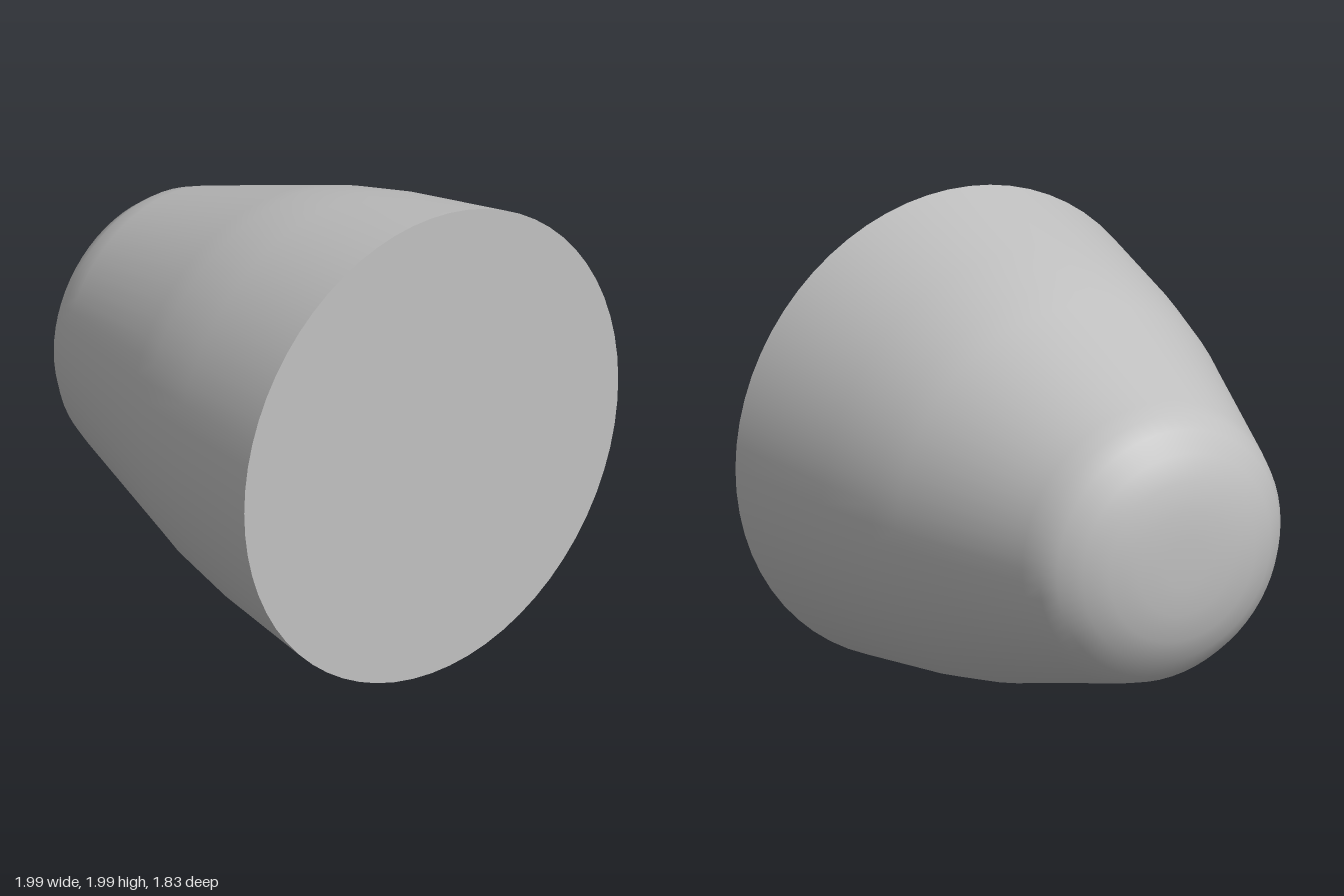
import * as THREE from 'three';

export function createModel() {
  const model = new THREE.Group();
  const grey = new THREE.MeshStandardMaterial({ color: 0xc0c0c0 });
  grey.name = 'plain grey';

  // Profile as [radius, z], from the blunt back to the wide front rim
  const profile = [
    [0, -0.917], [0.1, -0.917], [0.22, -0.91], [0.34, -0.885], [0.44, -0.84],
    [0.52, -0.775], [0.565, -0.71], [0.595, -0.63], [0.8, 0], [0.84, 0.12],
    [0.907, 0.4], [0.997, 0.917],
  ].map(([r, z]) => new THREE.Vector2(r, z));

  // Smooth tapered shell, turned so that its axis runs along z
  const shell = new THREE.Mesh(new THREE.LatheGeometry(profile, 64), grey);
  shell.name = 'taperedShell';
  shell.rotation.x = Math.PI / 2;
  shell.position.y = 1;
  model.add(shell);

  // Flat disc closing the front
  const face = new THREE.Mesh(new THREE.CircleGeometry(0.997, 64), grey);
  face.name = 'frontFace';
  face.position.set(0, 1, 0.917);
  model.add(face);

  return model;
}
